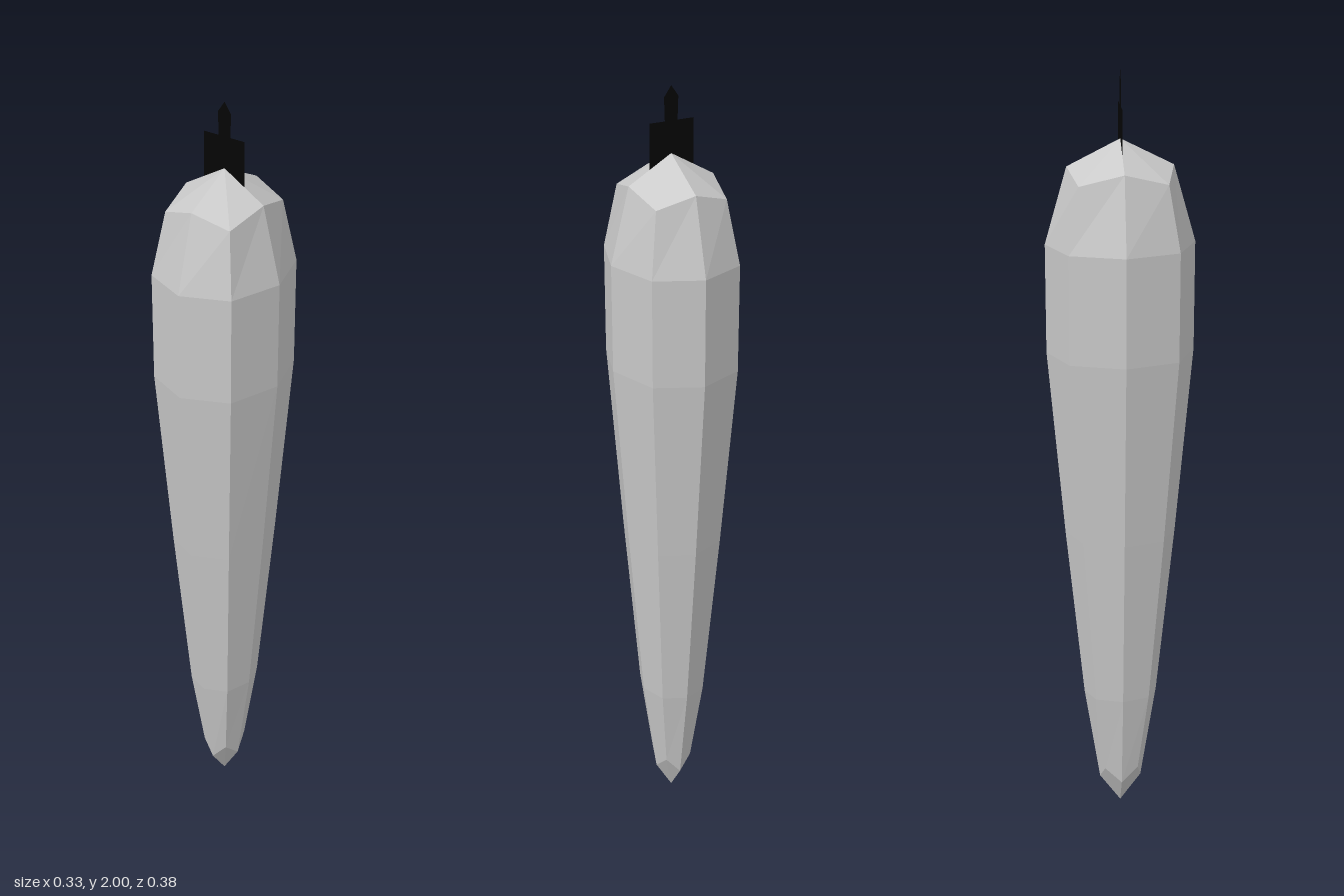
import * as THREE from 'three';

// Rings from bottom to top: axis height, diagonal height, half width, half depth, diagonal factor
const RINGS = [
  [0.08, 0.12, 0.045, 0.055, 0.8],
  [0.34, 0.34, 0.082, 0.096, 0.73],
  [0.8, 0.8, 0.122, 0.143, 0.73],
  [1.29, 1.29, 0.161, 0.187, 0.73],
  [1.57, 1.57, 0.163, 0.188, 0.73],
  [1.765, 1.735, 0.114, 0.133, 0.83],
];
const SIDES = 8;

// Point on a ring: even indices lie on the axes, odd ones on the diagonals
function ringPoint([yAxis, yDiag, w, d, k], i) {
  const a = (i * Math.PI) / 4;
  const sx = Math.sign(Math.round(Math.sin(a) * 10));
  const sz = Math.sign(Math.round(Math.cos(a) * 10));
  const diag = i % 2 === 1;
  const f = diag ? k : 1;
  return [sx * w * f, diag ? yDiag : yAxis, sz * d * f];
}

// Faceted tapering body, closed by a point at each end
function bodyGeometry() {
  const bottom = [0, 0.005, 0];
  const top = [0, 1.832, 0];
  const pos = [];
  const tri = (a, b, c) => pos.push(...a, ...b, ...c);
  for (let i = 0; i < SIDES; i++) {
    const j = (i + 1) % SIDES;
    tri(bottom, ringPoint(RINGS[0], j), ringPoint(RINGS[0], i));
    for (let r = 0; r < RINGS.length - 1; r++) {
      const a = ringPoint(RINGS[r], i), b = ringPoint(RINGS[r], j);
      const c = ringPoint(RINGS[r + 1], j), d = ringPoint(RINGS[r + 1], i);
      tri(a, b, c);
      tri(a, c, d);
    }
    const last = RINGS[RINGS.length - 1];
    tri(ringPoint(last, i), ringPoint(last, j), top);
  }
  const geo = new THREE.BufferGeometry();
  geo.setAttribute('position', new THREE.Float32BufferAttribute(pos, 3));
  geo.computeVertexNormals();
  return geo;
}

// Flat stem silhouette: wide base with a narrow pointed tip
function stemGeometry() {
  const outline = [
    [-0.06, 1.78], [0.058, 1.78], [0.058, 1.913], [0.017, 1.913],
    [0.019, 1.972], [0, 2], [-0.019, 1.972], [-0.017, 1.913], [-0.06, 1.913],
  ];
  return new THREE.ShapeGeometry(new THREE.Shape(outline.map(([x, y]) => new THREE.Vector2(x, y))));
}

export function createModel() {
  const grey = new THREE.MeshStandardMaterial({ color: 0xc8c8c8, flatShading: true });
  grey.name = 'light grey';
  const black = new THREE.MeshStandardMaterial({ color: 0x050505, side: THREE.DoubleSide });
  black.name = 'black';

  const group = new THREE.Group();
  group.name = 'pointedPod';

  const body = new THREE.Mesh(bodyGeometry(), grey);
  body.name = 'body';
  const stem = new THREE.Mesh(stemGeometry(), black);
  stem.name = 'stem';
  group.add(body, stem);
  return group;
}
